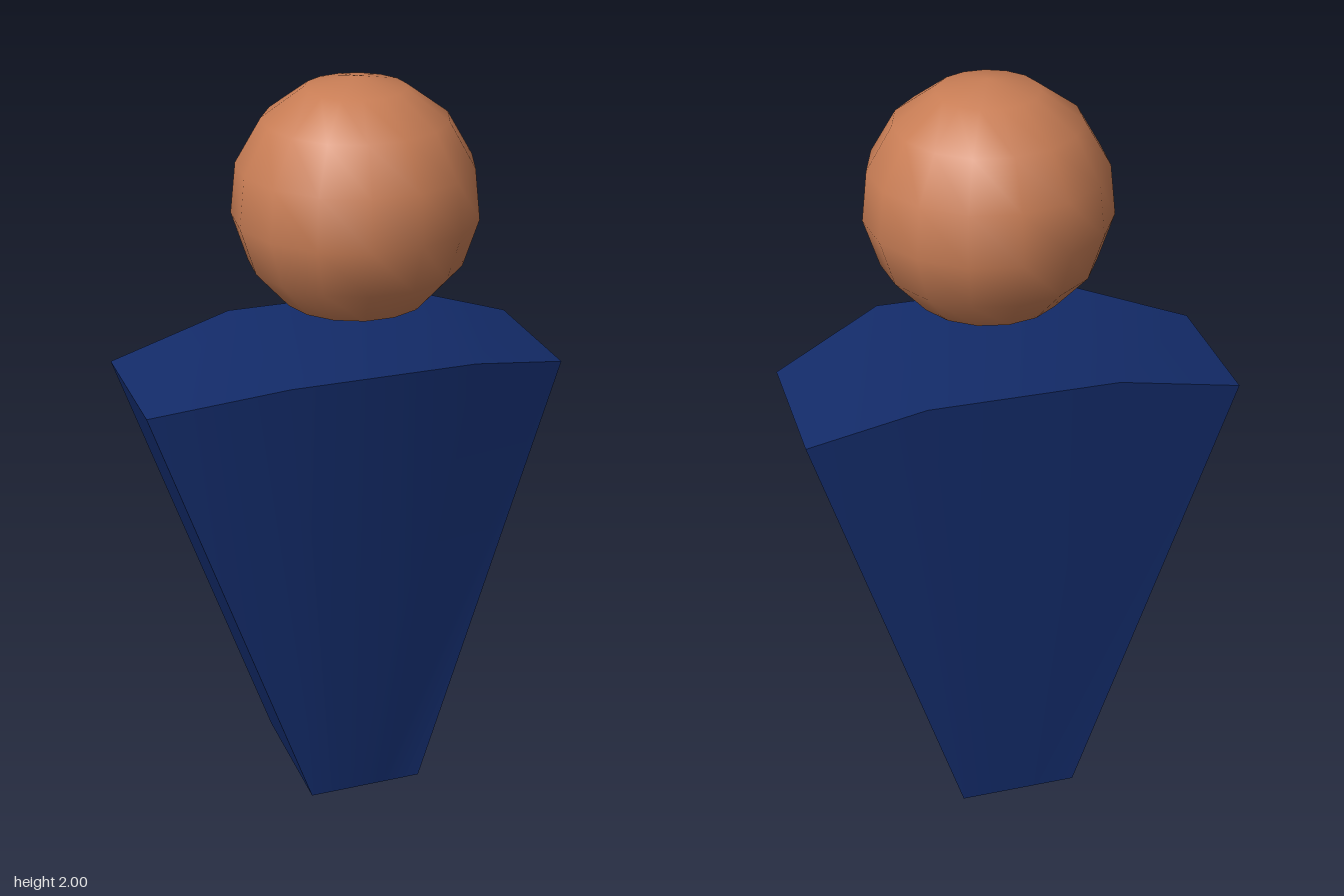
import * as THREE from 'three';
import { toCreasedNormals } from 'three/addons/utils/BufferGeometryUtils.js';

// Tapered torso lofted from four columns running left to right
function torsoGeometry() {
  const topX = [-0.56, -0.225, 0.265, 0.56];
  const topY = [1.215, 1.3, 1.3, 1.215];
  const topFront = [0.112, 0.238, 0.238, 0.112];
  const topBack = [-0.275, -0.315, -0.315, -0.275];
  const bottomX = [-0.14, -0.035, 0.07, 0.175];
  // Ring of each column: bottom front, top front, top back, bottom back
  const rings = topX.map((x, i) => [
    [bottomX[i], 0, 0.115],
    [x, topY[i], topFront[i]],
    [x, topY[i], topBack[i]],
    [bottomX[i], 0, -0.27],
  ]);
  const pos = [];
  const quad = (a, b, c, d) => pos.push(...a, ...b, ...c, ...a, ...c, ...d);
  for (let i = 0; i < 3; i++) {
    const l = rings[i], r = rings[i + 1];
    for (let k = 0; k < 4; k++) {
      const n = (k + 1) % 4;
      quad(l[k], r[k], r[n], l[n]);
    }
  }
  // End faces
  const [a, b, c, d] = rings[0];
  quad(a, b, c, d);
  const [e, f, g, h] = rings[3];
  quad(h, g, f, e);
  const geo = new THREE.BufferGeometry();
  geo.setAttribute('position', new THREE.Float32BufferAttribute(pos, 3));
  return toCreasedNormals(geo, 0.6);
}

// Ball with fifteen sides and rings every 24 degrees, smooth shaded
function headGeometry() {
  const radius = 0.315;
  const profile = [180, 144, 120, 96, 72, 48, 24, 0].map((deg) => {
    const t = THREE.MathUtils.degToRad(deg);
    return new THREE.Vector2(Math.max(0, radius * Math.sin(t)), radius * Math.cos(t));
  });
  const geo = new THREE.LatheGeometry(profile, 15, Math.PI);
  const p = geo.attributes.position, v = new THREE.Vector3();
  for (let i = 0; i < p.count; i++) {
    v.fromBufferAttribute(p, i).normalize();
    geo.attributes.normal.setXYZ(i, v.x, v.y, v.z);
  }
  return geo;
}

export function createModel() {
  const model = new THREE.Group();
  model.name = 'figure';

  const torso = new THREE.Mesh(torsoGeometry(), new THREE.MeshStandardMaterial({ color: 0x132b69 }));
  torso.name = 'torso';

  const head = new THREE.Mesh(headGeometry(), new THREE.MeshStandardMaterial({ color: 0xc87d55 }));
  head.name = 'head';
  head.position.set(0.025, 1.685, 0);

  model.add(torso, head);
  return model;
}
